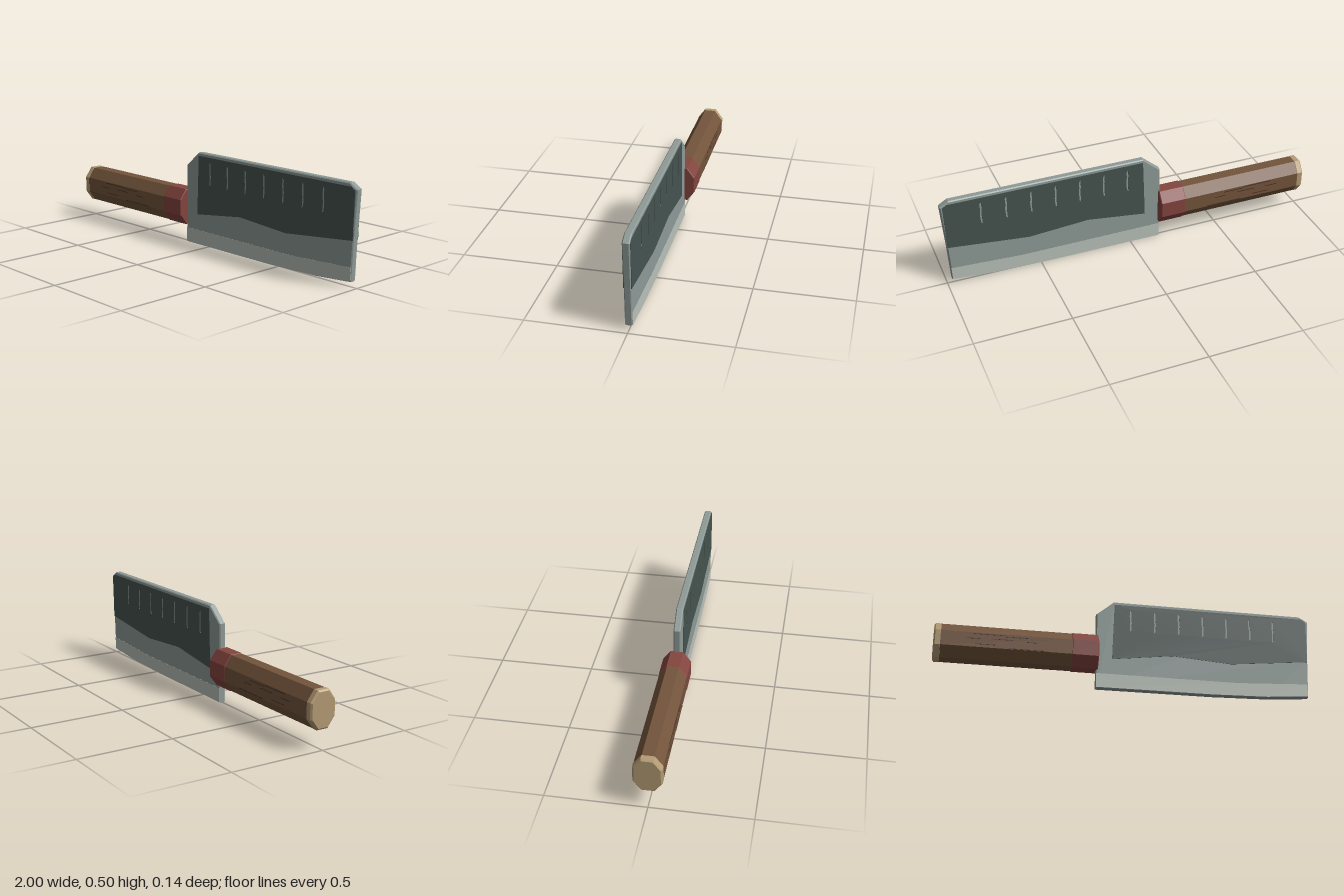
import * as THREE from 'three';

const flat = (name, color) => {
  const m = new THREE.MeshStandardMaterial({ color });
  m.name = name;
  return m;
};

const shapeOf = (pts) => new THREE.Shape(pts.map(([x, y]) => new THREE.Vector2(x, y)));

// Slab centred on z = 0, with an optional chamfer that keeps the outline size
function slab(shape, half, bevel = 0) {
  const g = new THREE.ExtrudeGeometry(shape, {
    depth: 2 * (half - bevel), bevelEnabled: bevel > 0, bevelSegments: 1,
    bevelSize: bevel, bevelThickness: bevel, bevelOffset: -bevel,
  });
  return g.translate(0, 0, -(half - bevel));
}

// Tall octagonal bar running along x, centred on the grip axis
function octBar(x0, x1, grow, bevel) {
  const quarter = [[0.03, 0.094], [0.07, 0.04]];
  const pts = [];
  for (const [sx, sy] of [[1, 1], [1, -1], [-1, -1], [-1, 1]]) {
    const q = sx * sy > 0 ? quarter : [...quarter].reverse();
    for (const [z, y] of q) pts.push([sx * (z + grow), sy * (y + grow)]);
  }
  const g = slab(shapeOf(pts), (x1 - x0) / 2, bevel);
  return g.rotateY(Math.PI / 2).translate((x0 + x1) / 2, 0.195, 0);
}

export function createModel() {
  const steel = flat('steel', 0x8f9b98);
  const darkSteel = flat('dark steel', 0x465450);
  const edgeSteel = flat('polished edge', 0xbac2ba);
  const wood = flat('wood', 0x74543c);
  const grainWood = flat('wood grain', 0x3a291e);
  const red = flat('red collar', 0x84453f);
  const tan = flat('tan cap', 0xb59c74);

  const model = new THREE.Group();
  model.name = 'cleaver';
  const add = (name, geometry, material) => {
    const mesh = new THREE.Mesh(geometry, material);
    mesh.name = name;
    model.add(mesh);
    return mesh;
  };

  // Blade body
  add('blade', slab(shapeOf([
    [-0.165, 0], [0.45, 0.002], [0.75, 0.01], [0.975, 0.028], [0.985, 0.24],
    [1, 0.472], [0.955, 0.5], [-0.07, 0.5], [-0.165, 0.42],
  ]), 0.018, 0.005), steel);

  // Dark panel on both faces, with narrow wavy slots showing the steel
  const panel = shapeOf([
    [-0.08, 0.165], [0.24, 0.207], [0.56, 0.185], [0.982, 0.23],
    [0.988, 0.468], [0.965, 0.483], [-0.068, 0.483],
  ]);
  for (let i = 0; i < 7; i++) {
    const x = 0.018 + i * 0.13;
    panel.holes.push(new THREE.Path([
      [-0.005, 0.33], [0.004, 0.34], [0.007, 0.385], [0.004, 0.42], [0.006, 0.445],
      [-0.003, 0.46], [-0.005, 0.42], [-0.002, 0.385],
    ].map(([dx, y]) => new THREE.Vector2(x + dx, y))));
  }
  add('bladePanel', slab(panel, 0.02), darkSteel);

  // Polished cutting edge on both faces
  add('cuttingEdge', slab(shapeOf([
    [-0.163, 0.003], [0.45, 0.005], [0.75, 0.013], [0.972, 0.031],
    [0.975, 0.1], [0.6, 0.08], [-0.163, 0.08],
  ]), 0.0188), edgeSteel);

  // Handle: end cap, grip and collar
  add('endCap', octBar(-1, -0.958, 0.001, 0.008), tan);
  add('grip', octBar(-0.965, -0.285, 0, 0), wood);
  add('collar', octBar(-0.295, -0.155, 0.002, 0.004), red);

  // Fine broken grain lines on both sides of the grip
  const grain = new THREE.Group();
  grain.name = 'woodGrain';
  [[-0.72, 0.228, 0.16], [-0.58, 0.222, 0.12], [-0.8, 0.202, 0.07], [-0.65, 0.205, 0.1],
    [-0.5, 0.2, 0.06], [-0.74, 0.172, 0.1], [-0.52, 0.158, 0.2]].forEach(([x, y, length]) => {
    for (const side of [1, -1]) {
      const line = new THREE.Mesh(new THREE.BoxGeometry(length, 0.003, 0.002), grainWood);
      line.name = 'grainLine';
      line.position.set(x, y, side * 0.07);
      grain.add(line);
    }
  });
  model.add(grain);
  return model;
}
